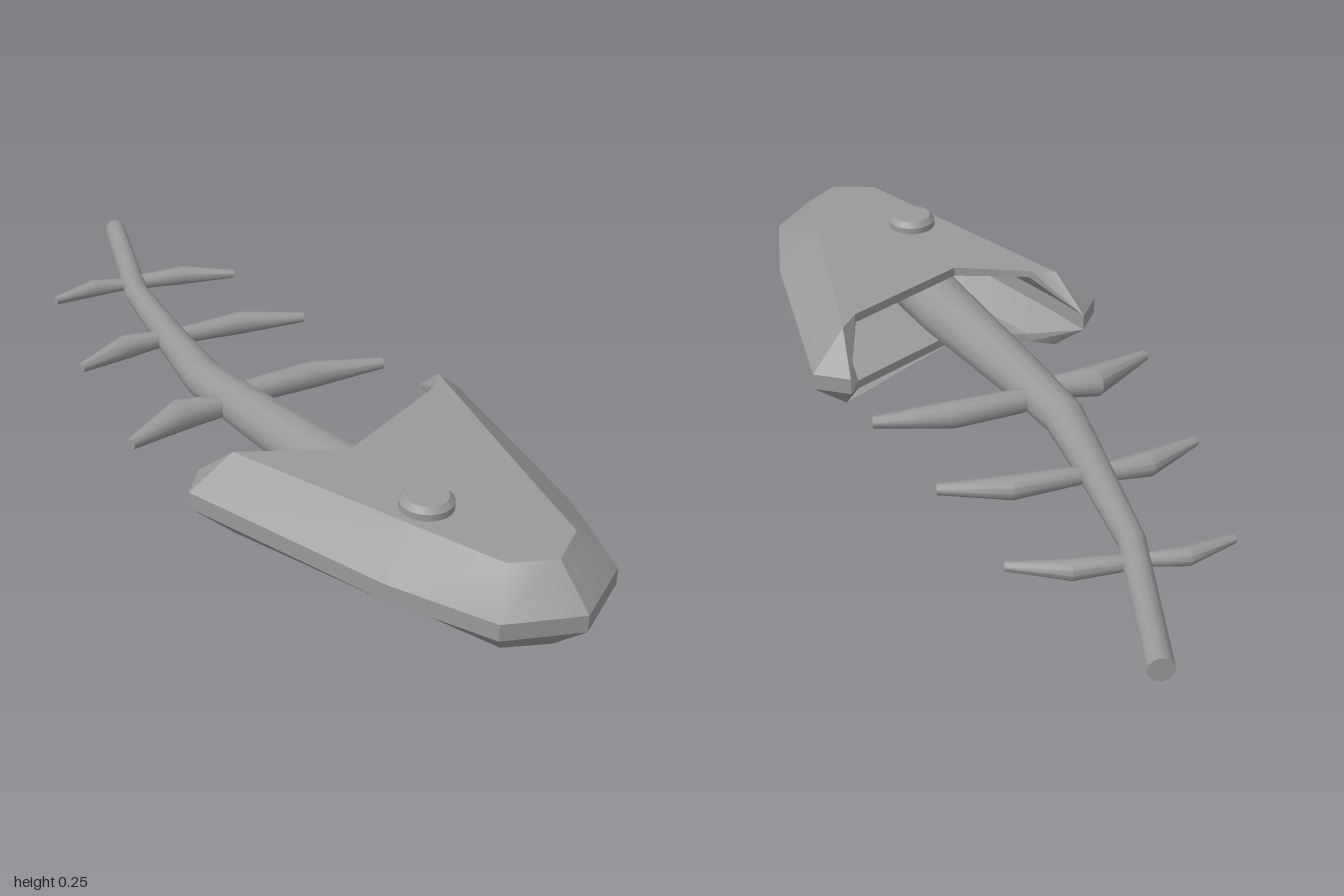
import * as THREE from 'three';
import { toCreasedNormals } from 'three/addons/utils/BufferGeometryUtils.js';

const MID = 0.126; // height of the horizontal symmetry plane

// Geometry from a list of polygons, each fanned from its first corner
function fromPolygons(polygons) {
  const pos = [];
  for (const p of polygons) {
    for (let i = 1; i < p.length - 1; i++) pos.push(...p[0], ...p[i], ...p[i + 1]);
  }
  const g = new THREE.BufferGeometry();
  g.setAttribute('position', new THREE.Float32BufferAttribute(pos, 3));
  return toCreasedNormals(g, 0.6);
}

// Tapered bone along points [x, z, radius] lying in the middle plane
function bone(points, sides) {
  const rings = points.map(([x, z, r], i) => {
    const a = points[Math.max(i - 1, 0)];
    const b = points[Math.min(i + 1, points.length - 1)];
    const t = new THREE.Vector2(b[0] - a[0], b[1] - a[1]).normalize();
    return Array.from({ length: sides }, (_, j) => {
      const angle = (j / sides) * Math.PI * 2;
      const c = r * Math.cos(angle);
      return [x + c * t.y, MID + r * Math.sin(angle), z - c * t.x];
    });
  });
  const polys = [[...rings[0]].reverse(), rings[rings.length - 1]];
  for (let i = 0; i < rings.length - 1; i++) {
    for (let j = 0; j < sides; j++) {
      const k = (j + 1) % sides;
      polys.push([rings[i][j], rings[i][k], rings[i + 1][k], rings[i + 1][j]]);
    }
  }
  return fromPolygons(polys);
}

// Hollow skull: one quarter is described, then mirrored in x and y
function skullGeometry() {
  const all = [];
  const level = (y, pts) => pts.map(([x, z]) => [x, y, z]);
  const rimOutline = [[0.365, 0.205], [0.243, 0.69], [0.153, 0.913], [0, 0.99]];
  const innerOutline = [[0.28, 0.26], [0.19, 0.66], [0, 0.86]];
  for (const sx of [1, -1]) {
    const apexX = -0.074 * sx; // the rear notch is off centre
    const T = level(0.099, [[0.275, 0.235], [0.153, 0.64], [0.09, 0.855], [0, 0.905]]);
    const M = level(0.019, rimOutline), m = level(0, rimOutline);
    const C = level(0.078, [[0.225, 0.278], [0.14, 0.6], [0, 0.78]]);
    const D = level(0.019, innerOutline), d = level(0, innerOutline);
    const V = [0.225, 0.099, 0.278];
    const apex = [apexX, 0.099, 0.368], apexLow = [apexX, 0.078, 0.368];
    const H = [0.3, 0.019, 0.145], h = [0.3, 0, 0.145];
    const quarter = [
      [V, apex, T[3], T[2], T[1], T[0]],   // outer plate
      [C[0], C[1], C[2], apexLow],         // cavity ceiling
      [V, C[0], apexLow, apex],            // rear rim
      [T[0], M[0], H], [M[0], m[0], h, H], // cheek horn
      [V, T[0], H], [C[0], V, H], [C[0], H, D[0]], [D[0], H, h, d[0]],
    ];
    for (let i = 0; i < 3; i++) {
      quarter.push([T[i], T[i + 1], M[i + 1], M[i]], [M[i], M[i + 1], m[i + 1], m[i]]);
    }
    for (let i = 0; i < 2; i++) {
      quarter.push([C[i], D[i], D[i + 1], C[i + 1]], [D[i], d[i], d[i + 1], D[i + 1]]);
    }
    for (const sy of [1, -1]) {
      for (const face of quarter) {
        const f = face.map(([x, y, z]) => [x * sx, MID + y * sy, z]);
        all.push(sx * sy < 0 ? f.reverse() : f);
      }
    }
  }
  return fromPolygons(all);
}

export function createModel() {
  const group = new THREE.Group();
  const boneGrey = new THREE.MeshStandardMaterial({ color: 0x999999 });
  boneGrey.name = 'bone grey';
  const add = (name, geometry) => {
    const mesh = new THREE.Mesh(geometry, boneGrey);
    mesh.name = name;
    group.add(mesh);
    return mesh;
  };

  add('skull', skullGeometry());

  // Round eye studs above and below the skull
  const profile = [[0, 0.085], [0.056, 0.085], [0.056, 0.114], [0.045, 0.126], [0, 0.126]]
    .map(([x, y]) => new THREE.Vector2(x, y));
  for (const [name, turn] of [['upperEye', 0], ['lowerEye', Math.PI]]) {
    const eye = add(name, toCreasedNormals(new THREE.LatheGeometry(profile, 20), 0.6));
    eye.position.set(-0.085, MID, 0.62);
    eye.rotation.x = turn;
  }

  // Curved, tapering backbone
  add('spine', bone([
    [-0.043, 0.5, 0.072], [-0.043, 0.35, 0.069], [-0.055, 0, 0.053], [-0.055, -0.19, 0.046],
    [-0.005, -0.41, 0.036], [0.052, -0.64, 0.029], [0.207, -0.99, 0.027],
  ], 12));

  // Ribs, from the backbone out to the tips
  const ribs = [
    [[-0.05, -0.065, 0.022], [-0.1, -0.07, 0.026], [-0.19, -0.09, 0.036], [-0.345, -0.05, 0.013]],
    [[-0.05, -0.085, 0.024], [0, -0.083, 0.028], [0.155, -0.062, 0.031], [0.32, -0.008, 0.013]],
    [[0, -0.405, 0.018], [-0.03, -0.41, 0.02], [-0.12, -0.425, 0.028], [-0.255, -0.4, 0.011]],
    [[0, -0.395, 0.018], [0.03, -0.393, 0.02], [0.17, -0.365, 0.027], [0.31, -0.298, 0.012]],
    [[0.07, -0.695, 0.013], [0.04, -0.708, 0.016], [-0.02, -0.73, 0.021], [-0.13, -0.727, 0.01]],
    [[0.07, -0.7, 0.015], [0.1, -0.69, 0.018], [0.2, -0.66, 0.023], [0.31, -0.59, 0.01]],
  ];
  ribs.forEach((path, i) => {
    add((i % 2 ? 'leftRib' : 'rightRib') + (Math.floor(i / 2) + 1), bone(path, 12));
  });

  return group;
}
